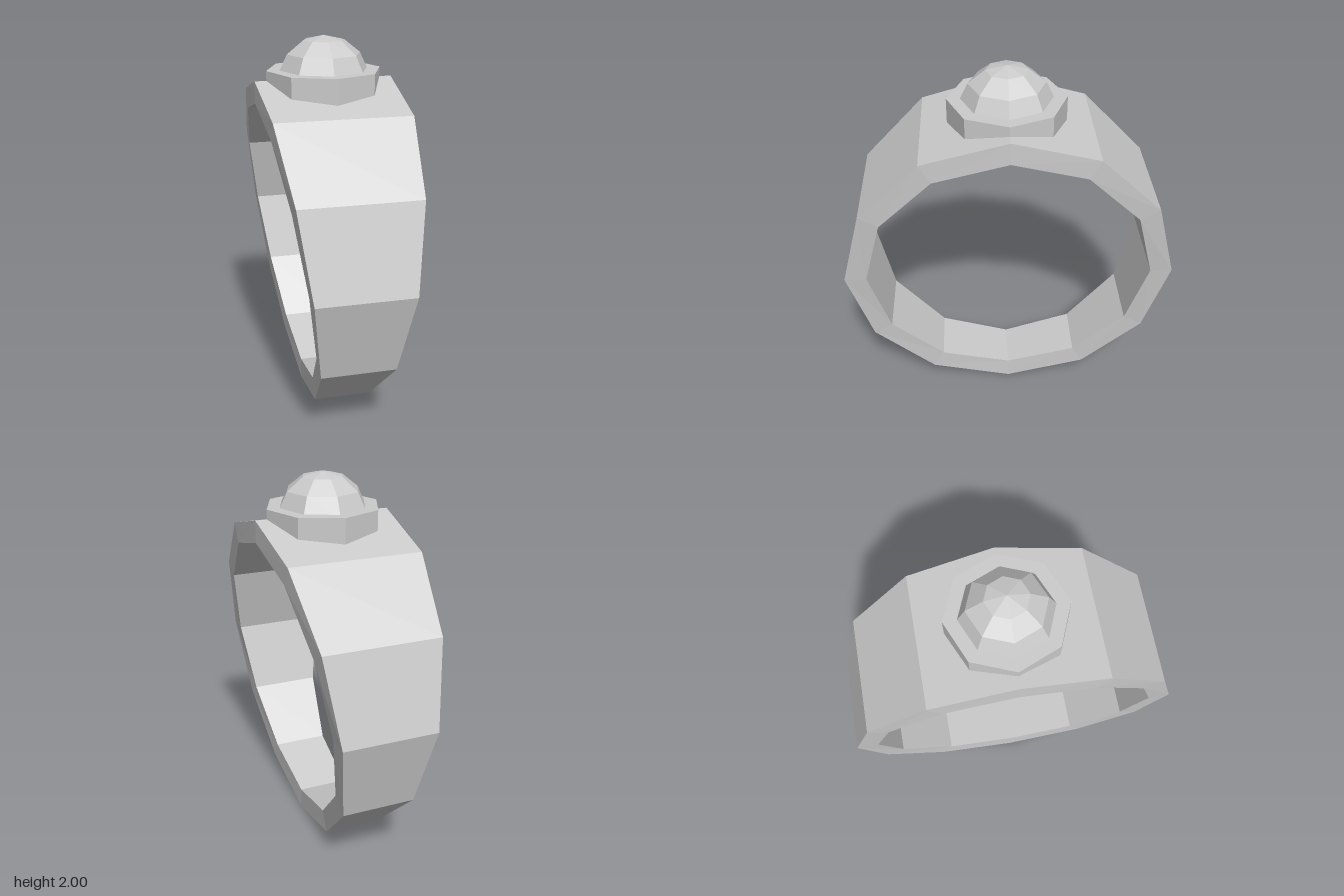
import * as THREE from 'three';

const material = () => new THREE.MeshStandardMaterial({ color: 0xcccccc, flatShading: true });

function add(group, name, geometry, y = 0) {
  const mesh = new THREE.Mesh(geometry, material());
  mesh.name = name;
  mesh.position.y = y;
  group.add(mesh);
}

// Twelve-sided hoop of rectangular sections, widening towards the top
function bandGeometry(outer, inner, sides) {
  const positions = [], indices = [];
  for (let i = 0; i < sides; i++) {
    const a = (i / sides) * Math.PI * 2;
    const s = Math.sin(a), c = Math.cos(a);
    const w = 0.252 + 0.115 * s; // half width
    for (const [r, x] of [[outer, w], [outer, -w], [inner, -w], [inner, w]]) {
      positions.push(x, r * s, r * c);
    }
  }
  for (let i = 0; i < sides; i++) {
    const p = i * 4, q = ((i + 1) % sides) * 4;
    for (let k = 0; k < 4; k++) {
      const n = (k + 1) % 4;
      indices.push(p + k, q + k, q + n, p + k, q + n, p + n);
    }
  }
  const g = new THREE.BufferGeometry();
  g.setAttribute('position', new THREE.Float32BufferAttribute(positions, 3));
  g.setIndex(indices);
  g.computeVertexNormals();
  return g;
}

export function createModel() {
  const ring = new THREE.Group();
  ring.name = 'ring';

  add(ring, 'band', bandGeometry(0.887, 0.77, 12), 0.887);

  // Octagonal setting, its base sunk into the band
  add(ring, 'setting', new THREE.CylinderGeometry(0.305, 0.305, 0.155, 8), 1.7475);

  // Faceted dome stone, its rim sunk into the setting
  add(ring, 'stone', new THREE.SphereGeometry(0.25, 8, 3, 0, Math.PI * 2, 0, (Math.PI * 3) / 7), 1.75);

  return ring;
}
